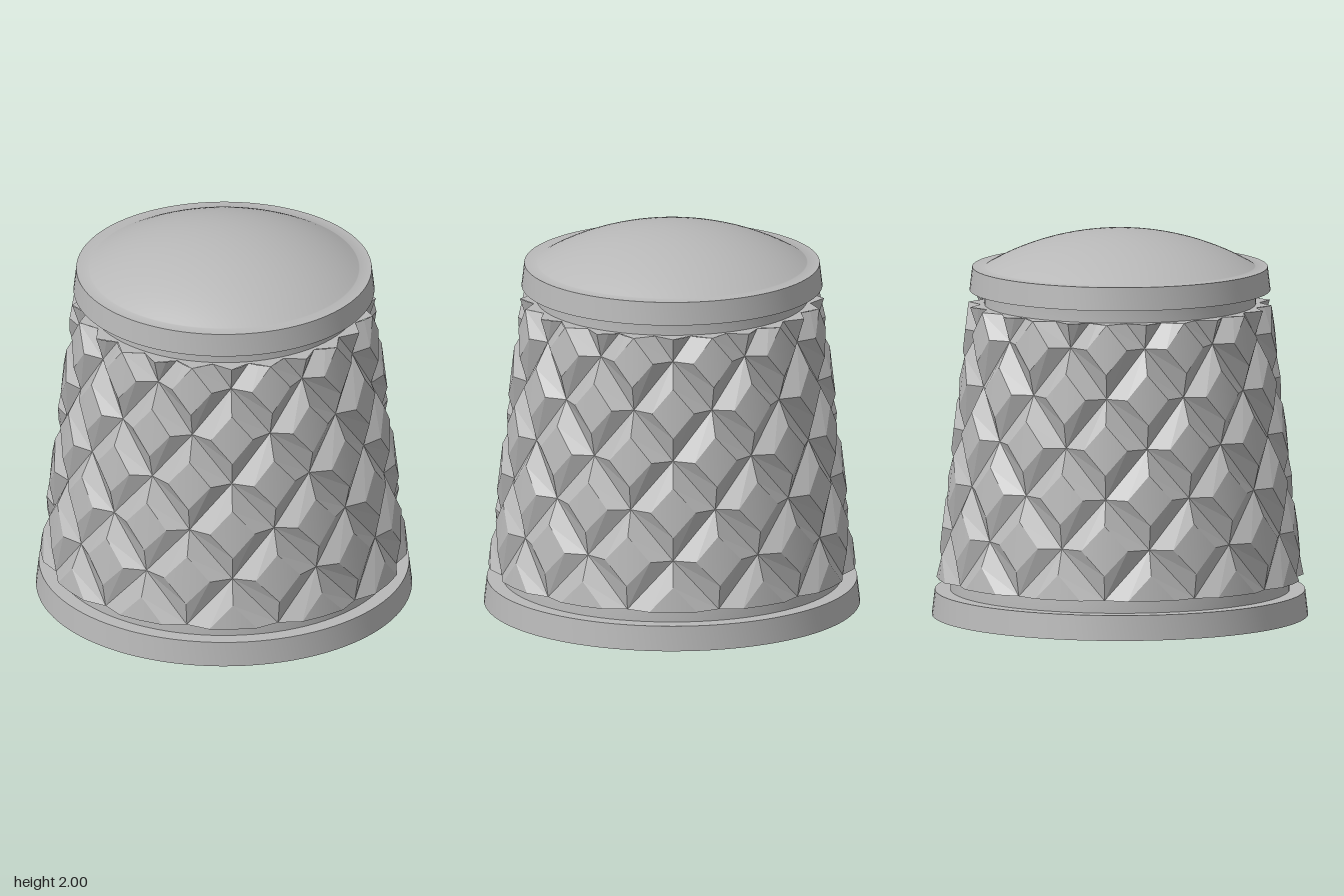
import * as THREE from 'three';
import { toCreasedNormals } from 'three/addons/utils/BufferGeometryUtils.js';

const COUNT = 12;                       // diamonds per row
const STEP = Math.PI / COUNT;           // half the angle of a diamond
const PITCH = 0.2575;                   // half the height of a diamond
const Y0 = 0.2, Y1 = Y0 + 5.5 * PITCH;  // ends of the knurled zone
const SLOPE = 0.115;
const outer = y => 0.97 - SLOPE * y;    // radius of the raised faces
const valley = y => 0.935 - 0.13 * y;   // radius of the groove bottoms
const point = (a, y, r) => new THREE.Vector3(r * Math.sin(a), y, r * Math.cos(a));

// Cuts a polygon at a height, keeping the side given by sign
function clip(poly, y, sign) {
  const out = [];
  poly.forEach((p, i) => {
    const q = poly[(i + 1) % poly.length];
    const dp = sign * (p.y - y), dq = sign * (q.y - y);
    if (dp >= 0) out.push(p);
    if (dp * dq < 0) out.push(p.clone().lerp(q, dp / (dp - dq)));
  });
  return out;
}

function knurlGeometry() {
  const positions = [], normals = [];

  const add = (poly, smooth) => {
    poly = clip(clip(poly, Y0, 1), Y1, -1);
    for (let i = 1; i + 1 < poly.length; i++) {
      const tri = [poly[0], poly[i], poly[i + 1]];
      const flat = new THREE.Vector3().subVectors(tri[1], tri[0])
        .cross(new THREE.Vector3().subVectors(tri[2], tri[0]));
      if (flat.length() < 1e-7) continue;
      flat.normalize();
      for (const p of tri) {
        const r = Math.hypot(p.x, p.z);
        const n = smooth ? new THREE.Vector3(p.x / r, SLOPE, p.z / r).normalize() : flat;
        positions.push(p.x, p.y, p.z);
        normals.push(n.x, n.y, n.z);
      }
    }
  };

  // Raised diamonds: four sloping walls around a smooth conical face
  const corners = [[1, 0], [0, 1], [-1, 0], [0, -1]];
  for (let k = 0; k <= 6; k++) {
    for (let i = 0; i < COUNT; i++) {
      const a = (2 * i + (k % 2)) * STEP, y = Y0 + k * PITCH;
      const ring = (scale, radius) => corners.map(([u, v]) => {
        const h = y + v * PITCH * scale;
        return point(a + u * STEP * scale, h, radius(h));
      });
      const base = ring(1, valley), face = ring(0.5, outer);
      for (let c = 0; c < 4; c++) {
        const d = (c + 1) % 4;
        add([base[c], base[d], face[d]], false);
        add([base[c], face[d], face[c]], false);
      }
      add([face[1], face[2], face[3]], true);
      add([face[3], face[0], face[1]], true);
    }
  }

  // Flat ends following the zigzag outline
  const end = (y, inner, radii, up) => {
    const n = COUNT * 4, da = STEP / 2;
    for (let i = 0; i < n; i++) {
      const r = j => radii[j % radii.length];
      const quad = [
        point(i * da, y, inner), point(i * da, y, r(i)),
        point((i + 1) * da, y, r(i + 1)), point((i + 1) * da, y, inner)];
      add(up ? quad : quad.reverse(), false);
    }
  };
  const o = outer(Y0);
  end(Y0, 0.86, [o, o, valley(Y0), o], false);
  end(Y1, 0.69, [outer(Y1), valley(Y1) * Math.cos(STEP / 2)], true);

  const geometry = new THREE.BufferGeometry();
  geometry.setAttribute('position', new THREE.Float32BufferAttribute(positions, 3));
  geometry.setAttribute('normal', new THREE.Float32BufferAttribute(normals, 3));
  return geometry;
}

// Bored core with both bands, both necks and the domed top
function bodyGeometry() {
  const profile = [
    [0, 1.5], [0.607, 1.5], [0.607, 0], [0.97, 0], [0.955, 0.13], [0.875, 0.13],
    [0.872, 0.21], [0.7, 1.6], [0.7, 1.69], [0.776, 1.69], [0.762, 1.81], [0.7, 1.81]];
  const R = 1.384, edge = Math.asin(0.695 / R);
  for (let i = 0; i <= 16; i++) {
    const t = edge * (1 - i / 16);
    profile.push([R * Math.sin(t), 2 - R + R * Math.cos(t)]);
  }
  const points = profile.map(([x, y]) => new THREE.Vector2(Math.max(x, 0), y));
  return toCreasedNormals(new THREE.LatheGeometry(points, 96), 0.6);
}

export function createModel() {
  const metal = new THREE.MeshStandardMaterial({ color: 0xb8b8b8 });
  metal.name = 'grey metal';
  const model = new THREE.Group();
  model.name = 'knurledKnob';
  const parts = { body: bodyGeometry(), knurledGrip: knurlGeometry() };
  for (const [name, geometry] of Object.entries(parts)) {
    const mesh = new THREE.Mesh(geometry, metal);
    mesh.name = name;
    model.add(mesh);
  }
  return model;
}
